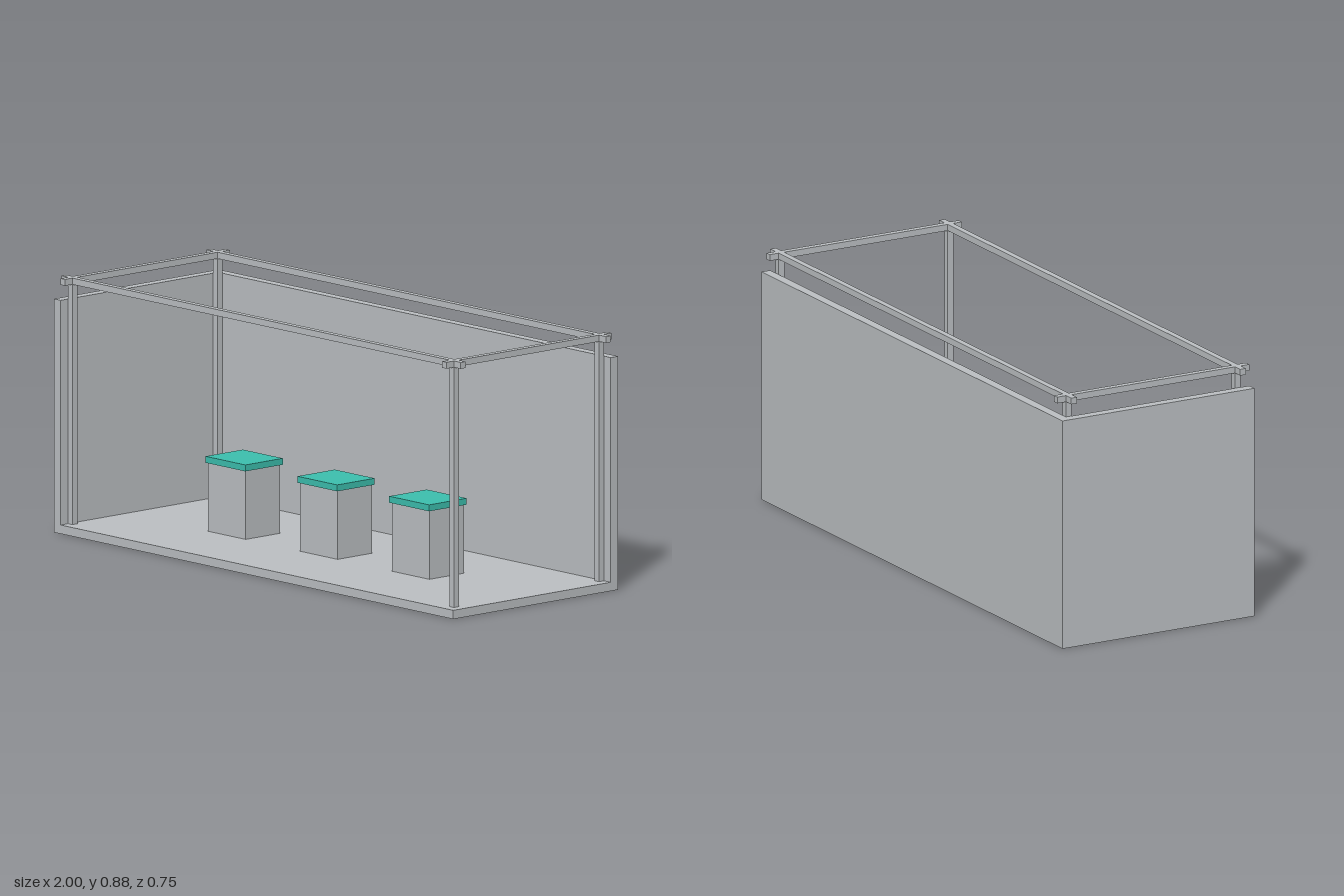
import * as THREE from 'three';

export function createModel() {
  const model = new THREE.Group();
  model.name = 'exhibitionBooth';

  const grey = new THREE.MeshStandardMaterial({ color: 0xbcc0c3 });
  grey.name = 'light grey';
  const teal = new THREE.MeshStandardMaterial({ color: 0x3cbfae });
  teal.name = 'teal';

  // Box given by its minimum and maximum corners
  function box(name, material, [x0, y0, z0], [x1, y1, z1], parent = model) {
    const mesh = new THREE.Mesh(new THREE.BoxGeometry(x1 - x0, y1 - y0, z1 - z0), material);
    mesh.position.set((x0 + x1) / 2, (y0 + y1) / 2, (z0 + z1) / 2);
    mesh.name = name;
    parent.add(mesh);
  }

  const W = 1, D = 0.374;           // half width and half depth
  const floorTop = 0.03, wallTop = 0.8, wall = 0.034;
  const railBottom = 0.853, railTop = 0.875, bar = 0.022;

  // Floor with a back wall and one side wall; front and left stay open
  box('floor', grey, [-W + wall, 0, -D + wall], [W, floorTop, D]);
  box('backWall', grey, [-W, 0, -D], [W, wallTop, -D + wall]);
  box('sideWall', grey, [-W, 0, -D + wall], [-W + wall, wallTop, D]);

  // Frame: corner posts and crossing top rails that overshoot the corners
  const frame = new THREE.Group();
  frame.name = 'frame';
  model.add(frame);
  const px = W - wall - bar / 2, pz = D - wall - bar / 2, h = bar / 2;
  for (const s of [-1, 1]) {
    for (const t of [-1, 1]) {
      box('post', grey, [s * px - h, floorTop, t * pz - h], [s * px + h, railBottom, t * pz + h], frame);
    }
    box('longRail', grey, [-W, railBottom, s * pz - h], [W, railTop, s * pz + h], frame);
    // Cross rail in three pieces, meeting the long rails flush
    for (const [z0, z1] of [[-D, -pz - h], [-pz + h, pz - h], [pz + h, D]]) {
      box('crossRail', grey, [s * px - h, railBottom, z0], [s * px + h, railTop, z1], frame);
    }
  }

  // Three display pedestals with coloured tops
  for (const x of [-0.46, 0, 0.46]) {
    const pedestal = new THREE.Group();
    pedestal.name = 'pedestal';
    pedestal.position.x = x;
    model.add(pedestal);
    box('pedestalBase', grey, [-0.094, floorTop, -0.078], [0.094, 0.265, 0.078], pedestal);
    box('pedestalTop', teal, [-0.1, 0.265, -0.085], [0.1, 0.287, 0.085], pedestal);
  }

  return model;
}
